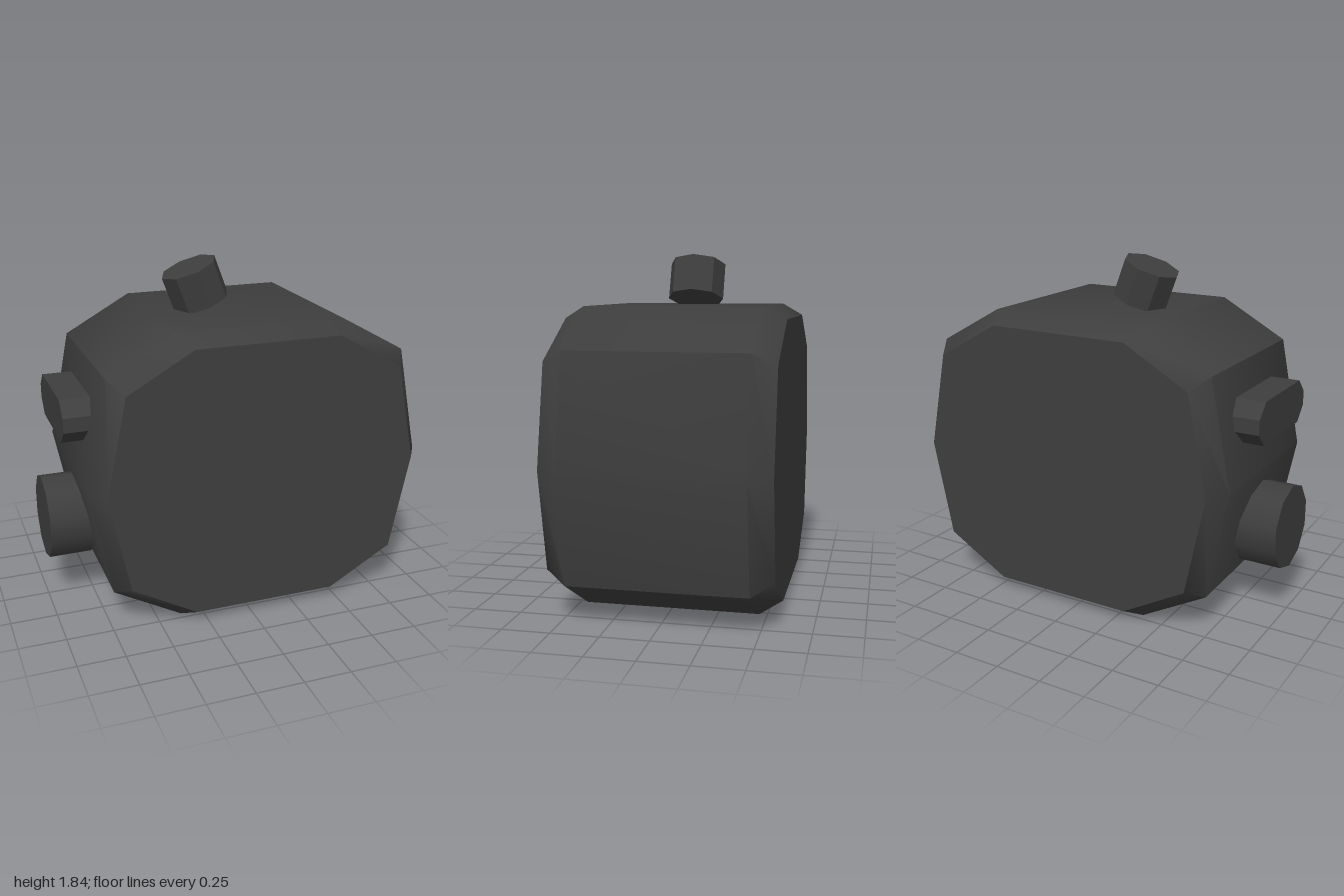
import * as THREE from 'three';
import { toCreasedNormals } from 'three/addons/utils/BufferGeometryUtils.js';

const CREASE = THREE.MathUtils.degToRad(40);
const CENTER_X = 0.077, CENTER_Y = 0.783;

// Mirror one quarter of a ten-sided outline, counterclockwise from the +x tip.
function decagon([tip, corner, top]) {
  const half = [tip, corner, top, [-top[0], top[1]], [-corner[0], corner[1]]];
  return [...half, ...half.map(([x, y]) => [-x, -y])]
    .map(([x, y]) => [x + CENTER_X, y + CENTER_Y]);
}

// Ten-sided case with bevelled front and back rims.
function caseGeometry() {
  const outer = decagon([[0.923, 0], [0.808, 0.581], [0.446, 0.783]]);
  const inner = decagon([[0.847, 0], [0.74, 0.522], [0.39, 0.721]]);
  const rings = [[inner, 0.575], [outer, 0.46], [outer, -0.46], [inner, -0.575]];
  const n = outer.length, positions = [], index = [];
  for (const [ring, z] of rings) for (const [x, y] of ring) positions.push(x, y, z);
  for (let r = 0; r < rings.length - 1; r++) {
    for (let j = 0; j < n; j++) {
      const k = (j + 1) % n;
      const a = r * n + j, b = r * n + k, c = a + n, d = b + n;
      index.push(a, c, b, b, c, d);
    }
  }
  // Flat front and back faces
  const back = (rings.length - 1) * n;
  for (let j = 1; j < n - 1; j++) {
    index.push(0, j, j + 1, back, back + j + 1, back + j);
  }
  const geometry = new THREE.BufferGeometry();
  geometry.setAttribute('position', new THREE.Float32BufferAttribute(positions, 3));
  geometry.setIndex(index);
  return toCreasedNormals(geometry, CREASE);
}

// Long bar with clipped corners, extruded along x.
function barGeometry(length, height, depth, chamfer) {
  const a = length / 2, b = height / 2;
  const shape = new THREE.Shape([
    [a, -b + chamfer], [a, b - chamfer], [a - chamfer, b], [-a + chamfer, b],
    [-a, b - chamfer], [-a, -b + chamfer], [-a + chamfer, -b], [a - chamfer, -b],
  ].map(([x, y]) => new THREE.Vector2(x, y)));
  return new THREE.ExtrudeGeometry(shape, { depth, bevelEnabled: false })
    .rotateY(-Math.PI / 2);
}

export function createModel() {
  const model = new THREE.Group();
  model.name = 'bevelledCase';
  const charcoal = new THREE.MeshStandardMaterial({ color: 0x3e3e3e });
  charcoal.name = 'charcoal';

  const add = (name, geometry, x = 0, y = 0, z = 0) => {
    const mesh = new THREE.Mesh(geometry, charcoal);
    mesh.name = name;
    mesh.position.set(x, y, z);
    model.add(mesh);
    return mesh;
  };

  add('case', caseGeometry());

  // Tilted octagonal button on top
  const knob = toCreasedNormals(new THREE.CylinderGeometry(0.155, 0.155, 0.203, 8), CREASE);
  add('topButton', knob, -0.12, 1.693, 0).rotation.z = THREE.MathUtils.degToRad(20.5);

  // Long bar and round dial on the right side
  add('sideBar', barGeometry(0.61, 0.23, 0.17, 0.076), -0.75, 1.095, 0);
  const dial = new THREE.CylinderGeometry(0.228, 0.228, 0.228, 10)
    .rotateY(Math.PI / 2).rotateZ(Math.PI / 2);
  add('sideDial', dial, -0.886, 0.478, 0);

  return model;
}
